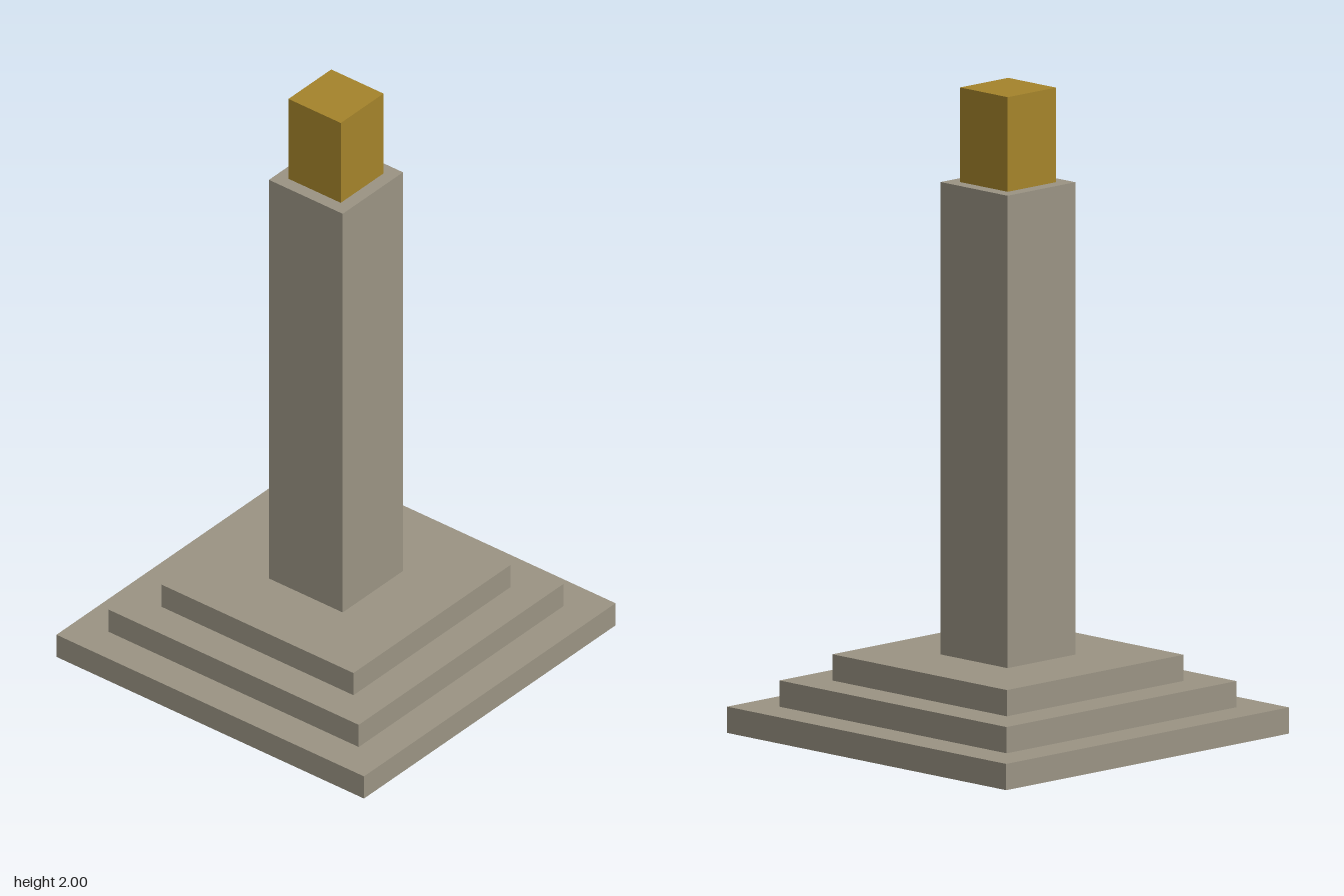
import * as THREE from 'three';

const stone = new THREE.MeshStandardMaterial({ name: 'stone', color: 0x9b9484, side: THREE.DoubleSide });
const gold = new THREE.MeshStandardMaterial({ name: 'gold', color: 0xa5842b, side: THREE.DoubleSide });

// Square block between two heights, open underneath
function block(name, width, bottom, top, material) {
  const geometry = new THREE.BoxGeometry(width, top - bottom, width);
  const index = Array.from(geometry.index.array);
  index.splice(18, 6); // drop the underside
  geometry.setIndex(index);
  geometry.clearGroups();
  const mesh = new THREE.Mesh(geometry, material);
  mesh.name = name;
  mesh.position.y = (bottom + top) / 2;
  return mesh;
}

export function createModel() {
  const model = new THREE.Group();
  model.name = 'monument';

  // Three stacked steps
  const steps = new THREE.Group();
  steps.name = 'steps';
  const stepHeight = 0.0813;
  [1.205, 0.98, 0.753].forEach((width, i) => {
    steps.add(block(`step${i + 1}`, width, i * stepHeight, (i + 1) * stepHeight, stone));
  });
  model.add(steps);

  // Pillar and its gilded cap
  model.add(block('pillar', 0.289, 3 * stepHeight, 1.707, stone));
  model.add(block('cap', 0.205, 1.707, 2, gold));
  return model;
}
